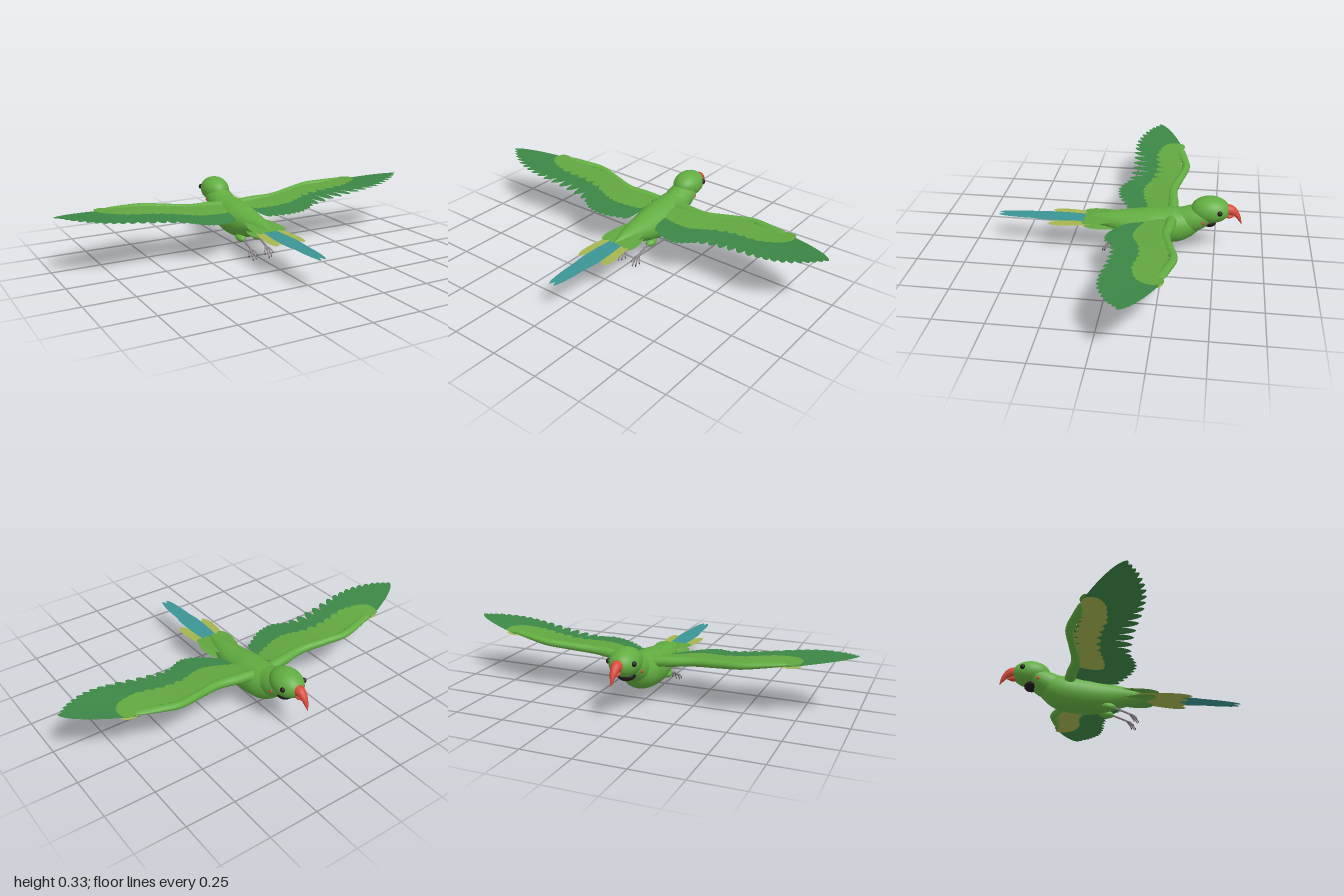
import * as THREE from 'three';

const mat = (name, color, side = THREE.FrontSide) => {
  const m = new THREE.MeshStandardMaterial({ color, side });
  m.name = name;
  return m;
};

export function createModel() {
  const bird = new THREE.Group();
  bird.name = 'bird';
  const D = THREE.DoubleSide;
  const green = mat('bodyGreen', 0x62ad40);
  const covertGreen = mat('covertGreen', 0x62a640, D);
  const flightGreen = mat('flightGreen', 0x3c8646, D);
  const teal = mat('tailTeal', 0x3b9594, D);
  const lime = mat('limeYellow', 0xa5b44f, D);
  const red = mat('beakRed', 0xd84a3a);
  const black = mat('black', 0x1e1b1c);
  const grey = mat('legGrey', 0x8a8288);

  const add = (parent, name, geometry, material) => {
    const m = new THREE.Mesh(geometry, material);
    m.name = name;
    parent.add(m);
    return m;
  };

  // Smooth skin through elliptical sections [x, y, z, halfWidth, halfHeight]
  function loft(sections, steps = 24, sides = 20) {
    const path = new THREE.CatmullRomCurve3(sections.map(s => new THREE.Vector3(s[0], s[1], s[2])));
    const size = new THREE.CatmullRomCurve3(sections.map(s => new THREE.Vector3(s[3], s[4], 0)));
    const pos = [], idx = [], up = new THREE.Vector3(0, 1, 0);
    for (let i = 0; i <= steps; i++) {
      const c = path.getPoint(i / steps), t = path.getTangent(i / steps), r = size.getPoint(i / steps);
      const right = t.clone().cross(up).normalize(), top = right.clone().cross(t);
      for (let j = 0; j < sides; j++) {
        const a = j / sides * Math.PI * 2;
        const p = c.clone().addScaledVector(right, Math.cos(a) * r.x).addScaledVector(top, Math.sin(a) * r.y);
        pos.push(p.x, p.y, p.z);
        if (i === steps) continue;
        const k = i * sides + j, n = i * sides + (j + 1) % sides;
        idx.push(k, k + sides, n, n, k + sides, n + sides);
      }
    }
    const g = new THREE.BufferGeometry();
    g.setAttribute('position', new THREE.Float32BufferAttribute(pos, 3));
    g.setIndex(idx);
    g.computeVertexNormals();
    return g;
  }

  const ball = new THREE.SphereGeometry(1, 28, 20);
  function ellipsoid(parent, name, material, p, r, tilt = 0) {
    const m = add(parent, name, ball, material);
    m.position.set(...p);
    m.scale.set(...r);
    m.rotation.x = tilt;
    return m;
  }

  // One flat feather of unit length and width, stretched between two points
  const outline = new THREE.Shape();
  outline.moveTo(-0.22, 0);
  outline.bezierCurveTo(-0.45, 0.2, -0.55, 0.55, -0.45, 0.76);
  outline.quadraticCurveTo(-0.32, 0.97, 0, 1);
  outline.quadraticCurveTo(0.32, 0.97, 0.45, 0.76);
  outline.bezierCurveTo(0.55, 0.55, 0.45, 0.2, 0.22, 0);
  const featherShape = new THREE.ShapeGeometry(outline, 6);
  function feather(parent, name, material, base, tip, width) {
    const m = add(parent, name, featherShape, material);
    const dir = tip.clone().sub(base), len = dir.length();
    dir.normalize();
    const side = dir.clone().cross(new THREE.Vector3(0, 1, 0)).normalize();
    const basis = new THREE.Matrix4().makeBasis(side, dir, side.clone().cross(dir));
    m.quaternion.setFromRotationMatrix(basis);
    m.position.copy(base);
    m.scale.set(width, len, 1);
  }

  // Body, neck and head
  add(bird, 'body', loft([
    [0, 0.172, 0.17, 0.002, 0.002], [0, 0.168, 0.1, 0.032, 0.03], [0, 0.163, 0, 0.062, 0.053],
    [0, 0.153, -0.1, 0.084, 0.078], [0, 0.153, -0.2, 0.096, 0.092], [0, 0.164, -0.3, 0.093, 0.09],
    [0, 0.182, -0.36, 0.078, 0.076], [0, 0.2, -0.41, 0.05, 0.045], [0, 0.205, -0.425, 0.002, 0.002],
  ], 40, 28), green);
  add(bird, 'neck', loft([
    [0, 0.185, -0.33, 0.07, 0.07], [0, 0.205, -0.39, 0.073, 0.068],
    [0, 0.232, -0.45, 0.066, 0.055], [0, 0.24, -0.5, 0.03, 0.03],
  ]), green);
  ellipsoid(bird, 'head', green, [0, 0.258, -0.47], [0.074, 0.068, 0.098]);
  ellipsoid(bird, 'chinPatch', black, [0, 0.194, -0.462], [0.046, 0.027, 0.042], -0.2);

  // Hooked beak
  add(bird, 'upperBeak', loft([
    [0, 0.262, -0.545, 0.03, 0.03], [0, 0.26, -0.572, 0.025, 0.026], [0, 0.244, -0.597, 0.018, 0.017],
    [0, 0.217, -0.615, 0.01, 0.01], [0, 0.187, -0.628, 0.001, 0.001],
  ], 18, 16), red);
  add(bird, 'lowerBeak', loft([
    [0, 0.235, -0.535, 0.02, 0.016], [0, 0.226, -0.568, 0.015, 0.011], [0, 0.224, -0.592, 0.001, 0.001],
  ], 10, 12), red);

  // Wing guide lines in x and z, running from the wing tip to the body
  const line = pts => new THREE.CatmullRomCurve3(pts.map(p => new THREE.Vector3(p[0], 0, p[1])));
  const tipLine = line([[1, -0.13], [0.93, -0.07], [0.82, -0.02], [0.69, -0.01], [0.52, -0.02],
    [0.36, -0.01], [0.28, 0.03], [0.2, 0.02], [0.11, -0.03]]);
  const rootLine = line([[0.7, -0.28], [0.69, -0.275], [0.66, -0.275], [0.58, -0.28], [0.47, -0.3],
    [0.34, -0.275], [0.25, -0.255], [0.18, -0.255], [0.1, -0.26]]);

  for (const s of [1, -1]) {
    const side = s > 0 ? 'left' : 'right';
    const wing = new THREE.Group();
    wing.name = side + 'Wing';
    bird.add(wing);

    // Arm along the leading edge
    add(wing, 'wingArm', loft([
      [0.05, 0.21, -0.28, 0.028, 0.026], [0.14, 0.217, -0.275, 0.027, 0.025],
      [0.25, 0.225, -0.265, 0.024, 0.021], [0.38, 0.24, -0.295, 0.02, 0.019],
      [0.5, 0.254, -0.32, 0.02, 0.017], [0.6, 0.264, -0.3, 0.022, 0.014],
      [0.68, 0.272, -0.28, 0.022, 0.01], [0.725, 0.276, -0.27, 0.002, 0.002],
    ].map(p => [p[0] * s, ...p.slice(1)]), 36, 16), green);

    // A row of feathers covering part of the span and of the chord
    const row = (name, material, count, t0, t1, width, lift, reach) => {
      for (let i = 0; i < count; i++) {
        const t = t0 + (t1 - t0) * i / (count - 1);
        const base = rootLine.getPoint(t), tip = tipLine.getPoint(t);
        base.y = 0.2 + 0.1 * base.x;
        tip.y = 0.168 + 0.142 * tip.x;
        tip.lerpVectors(base, tip, reach(t));
        for (const p of [base, tip]) {
          p.x *= s;
          p.y += lift + (i - count / 2) * 0.0003;
        }
        feather(wing, name, material, base, tip, width);
      }
    };
    row('flightFeather', flightGreen, 26, 0, 1, 0.066, 0, () => 1);
    row('upperCovert', covertGreen, 22, 0, 1, 0.07, 0.008, t => 0.2 + 0.32 * Math.min(1, t * 2.5));
    row('lesserCovert', covertGreen, 20, 0.08, 1, 0.07, 0.013, t => 0.15 + 0.17 * Math.min(1, t * 2.5));
    row('underCovert', lime, 18, 0.05, 0.8, 0.07, -0.009, t => 0.2 + 0.26 * Math.min(1, t * 2.5));

    // Eye and cheek spot
    ellipsoid(bird, side + 'Eye', black, [0.064 * s, 0.268, -0.518], [0.011, 0.013, 0.013]);
    ellipsoid(bird, side + 'CheekSpot', red, [0.064 * s, 0.211, -0.438], [0.008, 0.01, 0.008]);

    // Tail feathers
    const tailFeather = (name, material, a, b, w) => feather(bird, name, material,
      new THREE.Vector3(a[0] * s, a[1], a[2]), new THREE.Vector3(b[0] * s, b[1], b[2]), w);
    tailFeather('longTailFeather', teal, [0.012, 0.17, 0.08], [0.013, 0.162, 0.625], 0.056);
    tailFeather('midTailFeather', teal, [0.018, 0.168, 0.08], [0.032, 0.163, 0.44], 0.044);
    tailFeather('outerTailFeather', lime, [0.035, 0.166, 0.06], [0.076, 0.159, 0.35], 0.064);
    tailFeather('innerTailFeather', lime, [0.02, 0.163, 0.06], [0.03, 0.156, 0.34], 0.064);
    tailFeather('tailCovert', covertGreen, [0.03, 0.188, -0.03], [0.068, 0.172, 0.18], 0.072);
    tailFeather('tailCovert', covertGreen, [0.015, 0.19, -0.02], [0.025, 0.174, 0.175], 0.07);
    tailFeather('underTailCovert', covertGreen, [0.03, 0.14, -0.01], [0.058, 0.152, 0.17], 0.08);

    // Leg, foot and toes
    const leg = new THREE.Group();
    leg.name = side + 'Leg';
    bird.add(leg);
    const x = 0.046 * s;
    ellipsoid(leg, 'thigh', green, [x, 0.083, -0.077], [0.024, 0.02, 0.038], 0.1);
    const stick = (name, pts, r) => add(leg, name, new THREE.TubeGeometry(
      new THREE.CatmullRomCurve3(pts.map(p => new THREE.Vector3(...p))), 8, r, 8), grey);
    stick('shank', [[x, 0.082, -0.055], [x, 0.067, -0.01], [x, 0.052, 0.03]], 0.0055);
    for (const [dx, y, z] of [[-0.024, 0.022, 0.06], [-0.008, 0.008, 0.075], [0.01, 0.012, 0.07], [0.025, 0.024, 0.058]]) {
      stick('toe', [[x, 0.053, 0.026], [x + dx * 0.7, (0.056 + y) / 2, (0.034 + z) / 2], [x + dx, y, z]], 0.0035);
      const claw = add(leg, 'claw', new THREE.ConeGeometry(0.0035, 0.012, 8), black);
      claw.position.set(x + dx, y - 0.003, z);
      claw.rotation.x = Math.PI - 0.3;
    }
  }
  return bird;
}
